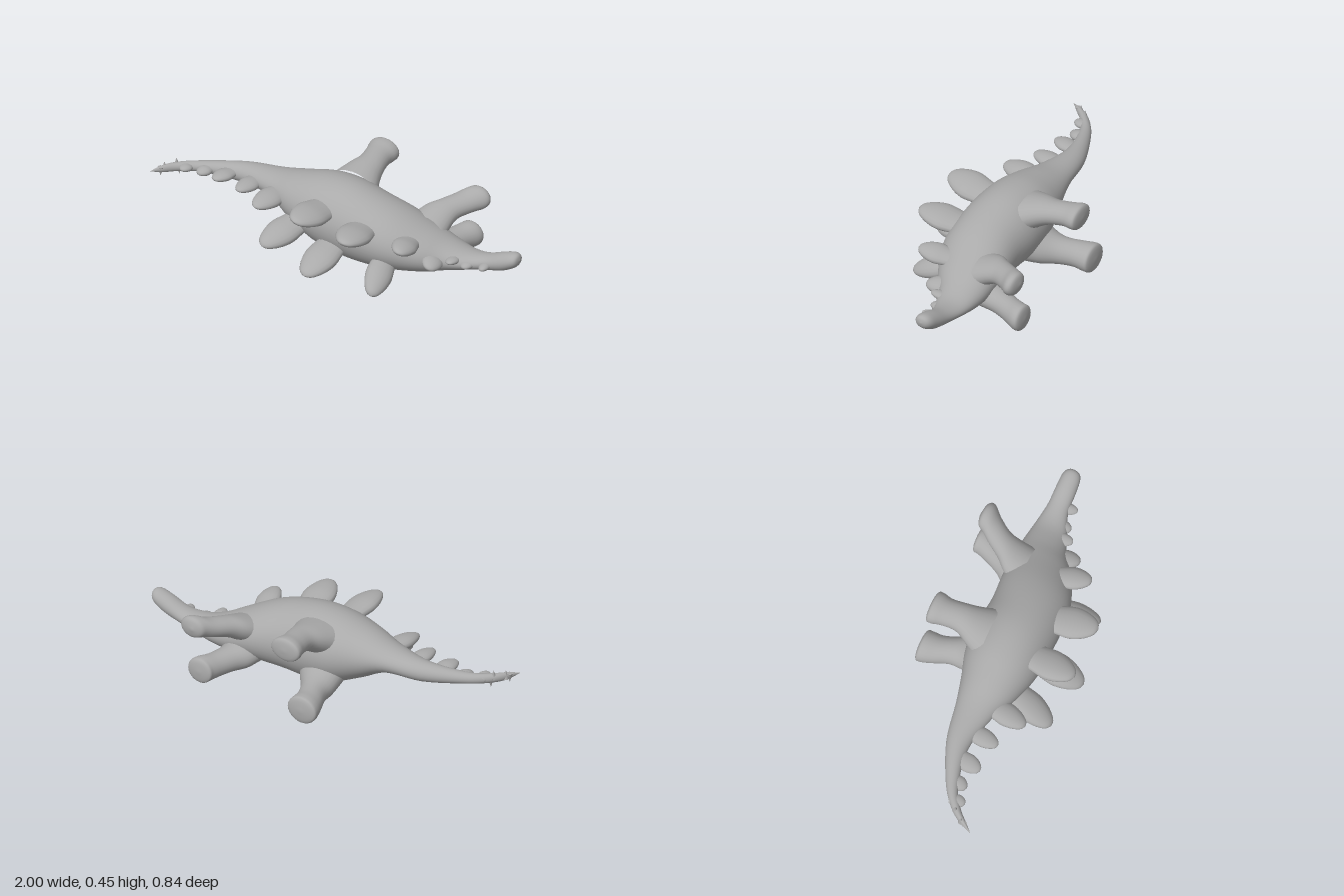
import * as THREE from 'three';
import { mergeVertices } from 'three/addons/utils/BufferGeometryUtils.js';

const V = (x, y, z) => new THREE.Vector3(x, y, z);

// Smoothly resample a table of rows (Catmull-Rom on every column).
function smoothRows(rows, steps) {
  const out = [];
  const at = i => rows[Math.min(Math.max(i, 0), rows.length - 1)];
  for (let i = 0; i < rows.length - 1; i++) {
    for (let s = 0; s < steps; s++) {
      const t = s / steps;
      out.push(rows[i].map((b, k) => {
        const a = at(i - 1)[k], c = at(i + 1)[k], d = at(i + 2)[k];
        return b + 0.5 * t * (c - a + t * (2 * a - 5 * b + 4 * c - d + t * (3 * (b - c) + d - a)));
      }));
    }
  }
  out.push(rows[rows.length - 1]);
  return out;
}

// Skin a list of elliptical rings { c, u, v }, where u x v points along the loft.
function loft(rings, sides) {
  const pos = [], index = [];
  rings.forEach(({ c, u, v }, i) => {
    for (let j = 0; j < sides; j++) {
      const a = (j / sides) * Math.PI * 2;
      const p = c.clone().addScaledVector(u, Math.cos(a)).addScaledVector(v, Math.sin(a));
      pos.push(p.x, p.y, p.z);
      if (i === rings.length - 1) continue;
      const k = (j + 1) % sides, r = i * sides, n = r + sides;
      index.push(r + j, r + k, n + j, r + k, n + k, n + j);
    }
  });
  let geo = new THREE.BufferGeometry();
  geo.setAttribute('position', new THREE.Float32BufferAttribute(pos, 3));
  geo.setIndex(index);
  geo = mergeVertices(geo, 1e-4);
  geo.computeVertexNormals();
  return geo;
}

// Body, tail, neck and head: x, lowest y, highest y, back z, front z
const BODY = [
  [-1.0, 0.26, 0.262, 0.268, 0.27],
  [-0.96, 0.24, 0.28, 0.18, 0.23],
  [-0.9, 0.235, 0.285, 0.11, 0.17],
  [-0.8, 0.23, 0.29, 0.04, 0.11],
  [-0.6, 0.21, 0.315, -0.05, 0.07],
  [-0.4, 0.2, 0.34, -0.09, 0.11],
  [-0.25, 0.12, 0.38, -0.13, 0.17],
  [-0.1, 0.05, 0.415, -0.175, 0.21],
  [0.05, 0.02, 0.42, -0.18, 0.22],
  [0.2, 0.02, 0.39, -0.17, 0.22],
  [0.35, 0.03, 0.34, -0.18, 0.2],
  [0.5, 0.045, 0.265, -0.18, 0.13],
  [0.6, 0.065, 0.215, -0.17, 0.06],
  [0.7, 0.09, 0.185, -0.155, 0.015],
  [0.8, 0.11, 0.195, -0.14, -0.025],
  [0.9, 0.135, 0.235, -0.137, -0.03],
  [0.96, 0.165, 0.253, -0.132, -0.035],
  [0.99, 0.19, 0.247, -0.115, -0.05],
  [1.0, 0.22, 0.221, -0.085, -0.084],
];

// Legs, from flared hip to blunt foot: z, centre x, centre y, half width x, half height y
const LEGS = {
  upperRearLeg: [
    [-0.08, -0.01, 0.3, 0.15, 0.11], [-0.17, -0.01, 0.345, 0.105, 0.08], [-0.24, -0.005, 0.37, 0.078, 0.063],
    [-0.32, -0.015, 0.382, 0.074, 0.06], [-0.37, -0.018, 0.387, 0.085, 0.064], [-0.4, -0.018, 0.387, 0.076, 0.056],
    [-0.41, -0.018, 0.387, 0, 0]],
  lowerRearLeg: [
    [-0.08, -0.03, 0.14, 0.14, 0.11], [-0.17, -0.06, 0.1, 0.105, 0.085], [-0.24, -0.085, 0.087, 0.078, 0.07],
    [-0.32, -0.115, 0.08, 0.077, 0.068], [-0.38, -0.125, 0.076, 0.085, 0.075], [-0.41, -0.125, 0.075, 0.076, 0.066],
    [-0.42, -0.125, 0.075, 0, 0]],
  upperFrontLeg: [
    [-0.08, 0.42, 0.2, 0.12, 0.09], [-0.17, 0.44, 0.25, 0.095, 0.07], [-0.23, 0.47, 0.275, 0.075, 0.058],
    [-0.3, 0.515, 0.292, 0.075, 0.055], [-0.35, 0.555, 0.308, 0.078, 0.06], [-0.385, 0.56, 0.312, 0.06, 0.05],
    [-0.4, 0.55, 0.312, 0, 0]],
  lowerFrontLeg: [
    [-0.08, 0.42, 0.11, 0.12, 0.08], [-0.17, 0.43, 0.09, 0.095, 0.07], [-0.23, 0.455, 0.083, 0.075, 0.064],
    [-0.3, 0.485, 0.078, 0.07, 0.064], [-0.36, 0.51, 0.077, 0.073, 0.07], [-0.39, 0.51, 0.076, 0.064, 0.06],
    [-0.4, 0.51, 0.076, 0, 0]],
};

// Back plates: base xyz, tip xyz, half width, half thickness, drop in y per unit of x
const PLATES = [
  [-0.02, 0.31, 0.13, -0.045, 0.345, 0.405, 0.09, 0.04, -0.25],
  [0.21, 0.27, 0.13, 0.25, 0.31, 0.4, 0.09, 0.04, -0.1],
  [0.44, 0.23, 0.06, 0.485, 0.26, 0.255, 0.065, 0.034, -0.2],
  [-0.33, 0.27, 0.05, -0.365, 0.265, 0.28, 0.066, 0.035, -0.2],
  [-0.5, 0.265, 0.02, -0.52, 0.27, 0.2, 0.052, 0.028, -0.1],
  [-0.18, 0.18, 0.1, -0.26, 0.12, 0.375, 0.083, 0.045, -0.2],
  [0.04, 0.14, 0.12, 0.03, 0.06, 0.42, 0.09, 0.045, -0.1],
  [0.32, 0.13, 0.1, 0.385, 0.025, 0.35, 0.07, 0.045, -0.55],
  [0.55, 0.15, 0.0, 0.595, 0.145, 0.14, 0.055, 0.032, -0.3],
  [0.65, 0.15, -0.04, 0.665, 0.165, 0.065, 0.035, 0.02, 0.1],
  [0.72, 0.14, -0.06, 0.73, 0.14, 0.025, 0.036, 0.022, 0.1],
  [0.81, 0.15, -0.08, 0.83, 0.155, 0.015, 0.03, 0.02, 0.2],
  [-0.65, 0.265, 0.03, -0.68, 0.27, 0.175, 0.05, 0.026, 0],
  [-0.77, 0.26, 0.06, -0.79, 0.255, 0.15, 0.04, 0.024, 0],
  [-0.87, 0.26, 0.1, -0.87, 0.265, 0.18, 0.035, 0.02, 0],
];

// Leaf outline of a plate: distance from base to tip, relative width
const LEAF = [[0, 0.8], [0.25, 0.9], [0.5, 1], [0.7, 0.88], [0.86, 0.64], [0.96, 0.36], [1, 0]];

export function createModel() {
  const model = new THREE.Group();
  model.name = 'platedDinosaur';
  const grey = new THREE.MeshStandardMaterial({ color: 0xaaaaaa });
  grey.name = 'stoneGrey';
  const add = (name, geo, parent = model) => {
    const mesh = new THREE.Mesh(geo, grey);
    mesh.name = name;
    parent.add(mesh);
  };

  // Body from tail tip to snout
  add('body', loft(smoothRows(BODY, 5).map(([x, y0, y1, z0, z1]) => ({
    c: V(x, (y0 + y1) / 2, (z0 + z1) / 2),
    u: V(0, (y1 - y0) / 2, 0),
    v: V(0, 0, (z1 - z0) / 2),
  })), 40));

  // Four legs reaching back
  for (const [name, rows] of Object.entries(LEGS)) {
    add(name, loft(smoothRows(rows, 4).map(([z, x, y, rx, ry]) => ({
      c: V(x, y, z), u: V(Math.max(rx, 0), 0, 0), v: V(0, -Math.max(ry, 0), 0),
    })), 24));
  }

  // Two rows of plates along the back, neck and tail
  const plates = new THREE.Group();
  plates.name = 'backPlates';
  model.add(plates);
  for (const [bx, by, bz, tx, ty, tz, w, t, slope] of PLATES) {
    const base = V(bx, by, bz), tip = V(tx, ty, tz);
    const dir = tip.clone().sub(base).normalize();
    const side = V(1, slope, 0);
    side.addScaledVector(dir, -side.dot(dir)).normalize();
    const thick = dir.clone().cross(side);
    add('plate', loft(smoothRows(LEAF, 3).map(([d, r]) => ({
      c: base.clone().lerp(tip, d),
      u: side.clone().multiplyScalar(w * Math.max(r, 0)),
      v: thick.clone().multiplyScalar(t * Math.max(r, 0)),
    })), 18), plates);
  }

  // Small spikes around the tail tip
  for (const [x, y, z, up] of [[-0.92, 0.275, 0.15, 1], [-0.96, 0.265, 0.2, 1], [-0.91, 0.245, 0.14, -1], [-0.97, 0.255, 0.22, -1]]) {
    const spike = new THREE.ConeGeometry(0.016, 0.05, 10);
    if (up < 0) spike.rotateX(Math.PI);
    spike.translate(x, y + up * 0.008, z);
    add('tailSpike', spike);
  }
  return model;
}
